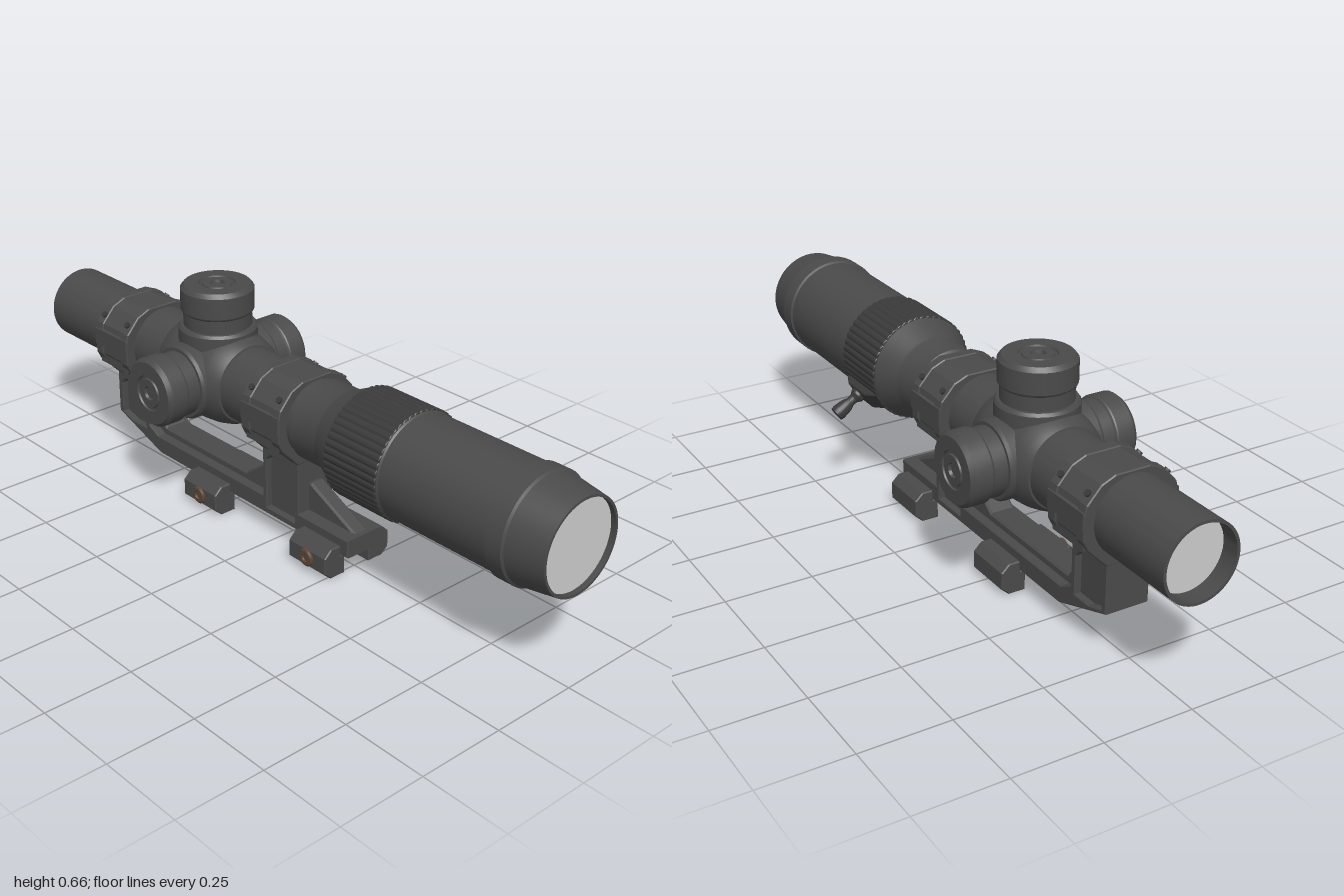
import * as THREE from 'three';
import { toCreasedNormals } from 'three/addons/utils/BufferGeometryUtils.js';

const AXIS = 0.395; // height of the optical axis
const material = (color) => new THREE.MeshStandardMaterial({ color });
const dark = material(0x4a4a4a);
const darker = material(0x3a3a3a);
const rust = material(0x5a4638);
const glass = material(0xcccccc);

function add(parent, name, geometry, mat = dark) {
  const mesh = new THREE.Mesh(geometry, mat);
  mesh.name = name;
  parent.add(mesh);
  return mesh;
}

const shapeOf = (pts) => new THREE.Shape(pts.map(([a, b]) => new THREE.Vector2(a, b)));

// Turned part from [radius, height] pairs
function turned(profile, segments = 48) {
  const pts = profile.map(([r, h]) => new THREE.Vector2(r, h));
  return toCreasedNormals(new THREE.LatheGeometry(pts, segments), 0.4);
}

// Prism of an x-y outline, centred on z
function sidePrism(shape, width, bevel = 0) {
  const g = new THREE.ExtrudeGeometry(shape, {
    depth: width - 2 * bevel, bevelEnabled: bevel > 0, bevelSize: bevel,
    bevelOffset: -bevel, bevelThickness: bevel, bevelSegments: 1,
  });
  return g.translate(0, 0, -width / 2 + bevel);
}

// Prism of a z-y outline, centred on x
function crossPrism(shape, length, bevel = 0) {
  const g = sidePrism(shape, length, bevel);
  return g.rotateY(-Math.PI / 2);
}

// Mirror half an outline (top to bottom, z > 0) to the other side
const mirrored = (half) => shapeOf([...half, ...half.map(([z, y]) => [-z, y]).reverse()]);

function createTube() {
  const g = new THREE.Group();
  g.name = 'scopeTube';
  add(g, 'mainTube', turned([
    [0.1, -0.94], [0.1, -1], [0.108, -1], [0.108, 0.11], [0.115, 0.115], [0.115, 0.21],
    [0.119, 0.22], [0.15, 0.285], [0.15, 0.475], [0.147, 0.48], [0.147, 0.835],
    [0.153, 0.838], [0.153, 0.887], [0.147, 0.892], [0.131, 1], [0.124, 1], [0.124, 0.98],
  ], 64).rotateZ(-Math.PI / 2));
  add(g, 'frontLens', new THREE.CircleGeometry(0.125, 48).rotateY(Math.PI / 2), glass).position.x = 0.985;
  add(g, 'rearLens', new THREE.CircleGeometry(0.101, 48).rotateY(-Math.PI / 2), glass).position.x = -0.95;

  // Ribbed zoom ring
  const ribs = [];
  for (let i = 0; i < 144; i++) {
    const a = (i / 144) * Math.PI * 2;
    const r = i % 3 === 0 ? 0.152 : 0.155;
    ribs.push([Math.cos(a) * r, Math.sin(a) * r]);
  }
  add(g, 'zoomRing', crossPrism(shapeOf(ribs), 0.188, 0.002), darker).position.x = 0.381;

  // Bulged turret housing
  add(g, 'turretHousing', turned([
    [0.105, -0.14], [0.114, -0.138], [0.127, -0.115], [0.136, -0.08], [0.14, -0.04],
    [0.14, 0.04], [0.136, 0.08], [0.127, 0.115], [0.114, 0.138], [0.105, 0.14],
  ]).rotateZ(-Math.PI / 2)).position.x = -0.32;
  g.position.y = AXIS;
  return g;
}

// Capped adjustment knob; heights are measured from the optical axis
function createTurret(name, base, step, top, radius) {
  const g = new THREE.Group();
  g.name = name;
  const s = radius;
  add(g, 'knob', turned([
    [s + 0.008, 0.09], [s + 0.008, base - 0.008], [s + 0.002, base], [s - 0.007, base],
    [s - 0.007, step - 0.004], [s - 0.002, step], [s, step + 0.004], [s, top - 0.012],
    [s - 0.01, top], [0.052, top], [0.05, top - 0.005], [0.043, top - 0.005], [0.041, top],
    [0.02, top], [0.018, top - 0.008], [0, top - 0.008],
  ], 32));
  g.position.set(-0.32, AXIS, 0);
  return g;
}

// Clamp ring with raised edge ribs, side blocks and screws
function createRing(x) {
  const g = new THREE.Group();
  g.name = 'clampRing';
  const profile = (k) => {
    const s = mirrored([
      [0.05, 0.117], [0.09, 0.1], [0.13, 0.055], [0.136, 0.03], [0.136, -0.04],
      [0.122, -0.068], [0.066, -0.125],
    ].map(([z, y]) => [z * k, y * k]));
    s.holes.push(new THREE.Path().absarc(0, 0, 0.106, 0, Math.PI * 2, true));
    return s;
  };
  for (const e of [-1, 1]) {
    add(g, 'edgeRib', crossPrism(profile(1), 0.034, 0.003)).position.x = e * 0.0605;
    for (const side of [-1, 1]) {
      const screw = add(g, 'screw', new THREE.CylinderGeometry(0.009, 0.009, 0.012, 12), darker);
      screw.position.set(e * 0.056, 0.076, side * 0.113);
      screw.rotation.x = side * 0.85;
    }
  }
  add(g, 'band', crossPrism(profile(0.965), 0.1));
  for (const side of [-1, 1]) {
    add(g, 'clampEar', new THREE.BoxGeometry(0.15, 0.05, 0.026)).position.set(0, 0.012, side * 0.126);
    add(g, 'lowerEar', new THREE.BoxGeometry(0.13, 0.04, 0.02)).position.set(0, -0.05, side * 0.118);
  }
  g.position.set(x, AXIS, 0);
  return g;
}

function createMount() {
  const g = new THREE.Group();
  g.name = 'mount';

  // Rail and posts with pocketed sides
  const frame = shapeOf([
    [-0.732, 0.285], [-0.732, 0.135], [-0.53, 0.065], [0.29, 0.065], [0.29, 0.118],
    [0.092, 0.118], [0.092, 0.285], [-0.056, 0.285], [-0.056, 0.118], [-0.54, 0.118],
    [-0.582, 0.14], [-0.582, 0.285],
  ]);
  const pockets = [
    [[-0.712, 0.14], [-0.712, 0.235], [-0.695, 0.253], [-0.617, 0.253], [-0.6, 0.235], [-0.6, 0.125], [-0.66, 0.125]],
    [[-0.04, 0.085], [-0.04, 0.235], [-0.023, 0.253], [0.059, 0.253], [0.076, 0.235], [0.076, 0.085]],
  ];
  for (const p of pockets) {
    frame.holes.push(new THREE.Path(p.map(([x, y]) => new THREE.Vector2(x, y))));
    add(g, 'postCore', sidePrism(shapeOf(p), 0.09));
  }
  add(g, 'railFrame', sidePrism(frame, 0.128, 0.003));

  // Raised spine and sloped webs bracing the posts
  add(g, 'spine', sidePrism(shapeOf([
    [-0.6, 0.11], [-0.04, 0.11], [-0.04, 0.215], [-0.06, 0.21], [-0.16, 0.14],
    [-0.53, 0.14], [-0.585, 0.205], [-0.6, 0.21],
  ]), 0.075, 0.006));
  add(g, 'frontWeb', sidePrism(shapeOf([
    [0.08, 0.11], [0.275, 0.11], [0.275, 0.118], [0.1, 0.202], [0.08, 0.202],
  ]), 0.048, 0.006));

  for (const x of [-0.656, 0.018]) g.add(createRing(x));

  // Rail clamps: a pair of jaws and a cross bolt each
  const jaw = [
    [0.045, 0.002], [0.095, 0.002], [0.118, 0.022], [0.118, 0.07], [0.095, 0.092],
    [0.06, 0.092], [0.06, 0.062], [0.045, 0.062],
  ];
  for (const x of [-0.275, 0.188]) {
    for (const side of [-1, 1]) {
      const pts = jaw.map(([z, y]) => [z * side, y]);
      add(g, 'railJaw', crossPrism(shapeOf(pts), 0.145, 0.003)).position.x = x;
    }
    const bolt = add(g, 'crossBolt', turned([
      [0.026, 0], [0.026, 0.008], [0.022, 0.012], [0.012, 0.012], [0.011, 0.006], [0, 0.006],
    ], 20).rotateX(Math.PI / 2), rust);
    bolt.position.set(x, 0.047, 0.114);
  }
  return g;
}

// Throw lever: foot on the zoom ring, stem and flared grip
function createLever() {
  const g = new THREE.Group();
  g.name = 'throwLever';
  add(g, 'leverFoot', sidePrism(shapeOf([
    [-0.11, 0.14], [0.065, 0.14], [0.065, 0.158], [0.035, 0.172], [-0.06, 0.172], [-0.11, 0.15],
  ]), 0.06, 0.004), darker);
  add(g, 'leverGrip', turned([
    [0.022, 0.165], [0.022, 0.18], [0.014, 0.192], [0.014, 0.205], [0.02, 0.222],
    [0.023, 0.25], [0.021, 0.26], [0, 0.262],
  ], 20), darker);
  g.position.set(0.4, AXIS, 0);
  g.rotation.x = -(Math.PI / 2 + 0.57);
  return g;
}

export function createModel() {
  const model = new THREE.Group();
  model.name = 'riflescope';
  model.add(createTube(), createMount(), createLever());
  model.add(createTurret('topTurret', 0.145, 0.188, 0.264, 0.104));
  for (const side of [-1, 1]) {
    const t = createTurret(side > 0 ? 'frontTurret' : 'backTurret', 0.142, 0.185, 0.25, 0.1);
    t.rotation.x = side * Math.PI / 2;
    model.add(t);
  }
  return model;
}
